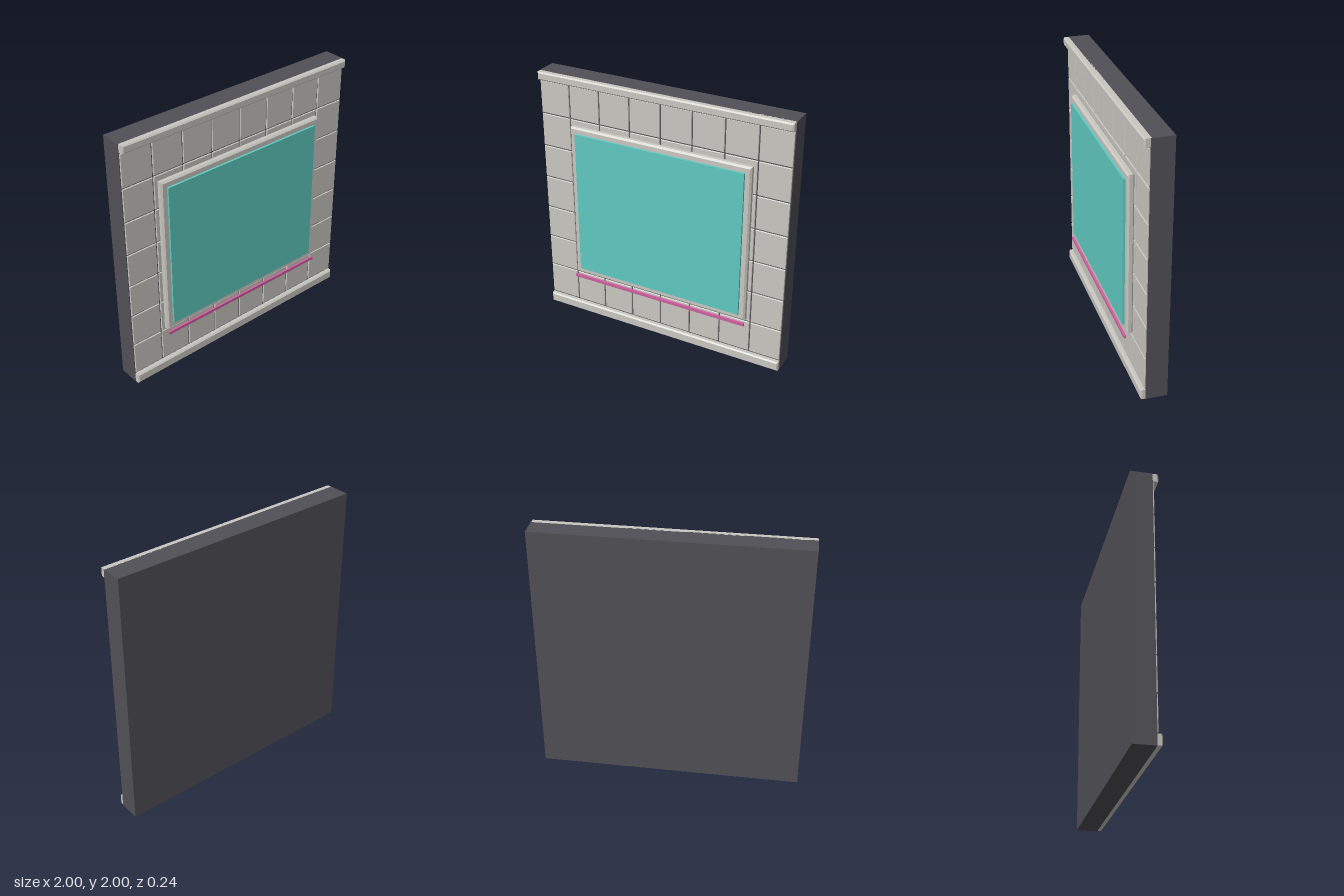
import * as THREE from 'three';

const mat = (name, color) => {
  const m = new THREE.MeshStandardMaterial({ color });
  m.name = name;
  return m;
};

// Box with chamfered edges, spanning the given ranges
function chamferBox(x0, x1, y0, y1, z0, z1, b) {
  const s = new THREE.Shape();
  s.moveTo(x0 + b, y0 + b);
  s.lineTo(x1 - b, y0 + b);
  s.lineTo(x1 - b, y1 - b);
  s.lineTo(x0 + b, y1 - b);
  s.closePath();
  const g = new THREE.ExtrudeGeometry(s, {
    depth: z1 - z0 - 2 * b, bevelEnabled: true, bevelSize: b, bevelThickness: b, bevelSegments: 1,
  });
  return g.translate(0, 0, z0 + b);
}

function plainBox(x0, x1, y0, y1, z0, z1) {
  return new THREE.BoxGeometry(x1 - x0, y1 - y0, z1 - z0)
    .translate((x0 + x1) / 2, (y0 + y1) / 2, (z0 + z1) / 2);
}

export function createModel() {
  const model = new THREE.Group();
  model.name = 'wallPanel';
  const dark = mat('darkGrey', 0x505056);
  const stone = mat('paleStone', 0xc9c7c0);
  const teal = mat('turquoise', 0x5fcac1);
  const pink = mat('pink', 0xd060a0);

  const add = (name, geometry, material, parent = model) => {
    const mesh = new THREE.Mesh(geometry, material);
    mesh.name = name;
    parent.add(mesh);
  };

  // Dark slab behind everything
  add('backing', plainBox(-1, 1, 0, 2, -0.118, 0.043), dark);

  // Grid of tiles with narrow joints
  const tiles = new THREE.Group();
  tiles.name = 'tiles';
  model.add(tiles);
  const cols = 8, rows = 7, bottom = 0.086, joint = 0.005;
  const w = 2 / cols, h = (1.932 - bottom) / rows;
  for (let r = 0; r < rows; r++) {
    for (let c = 0; c < cols; c++) {
      const x = -1 + c * w, y = bottom + r * h;
      add('tile', chamferBox(x + joint, x + w - joint, y + joint, y + h - joint, 0.037, 0.053, 0.003), stone, tiles);
    }
  }

  // Rails along the top and bottom edges
  add('topRail', chamferBox(-0.997, 0.997, 1.937, 2, 0.027, 0.086, 0.01), stone);
  add('bottomRail', chamferBox(-0.997, 0.997, 0.002, 0.08, 0.027, 0.08, 0.01), stone);

  // Raised frame, screen and the light strip under it
  add('screenFrame', chamferBox(-0.724, 0.724, 0.38, 1.628, 0.048, 0.1, 0.013), stone);
  add('screen', plainBox(-0.677, 0.677, 0.43, 1.58, 0.099, 0.116), teal);
  add('lightStrip', plainBox(-0.725, 0.725, 0.344, 0.367, 0.102, 0.118), pink);

  return model;
}
